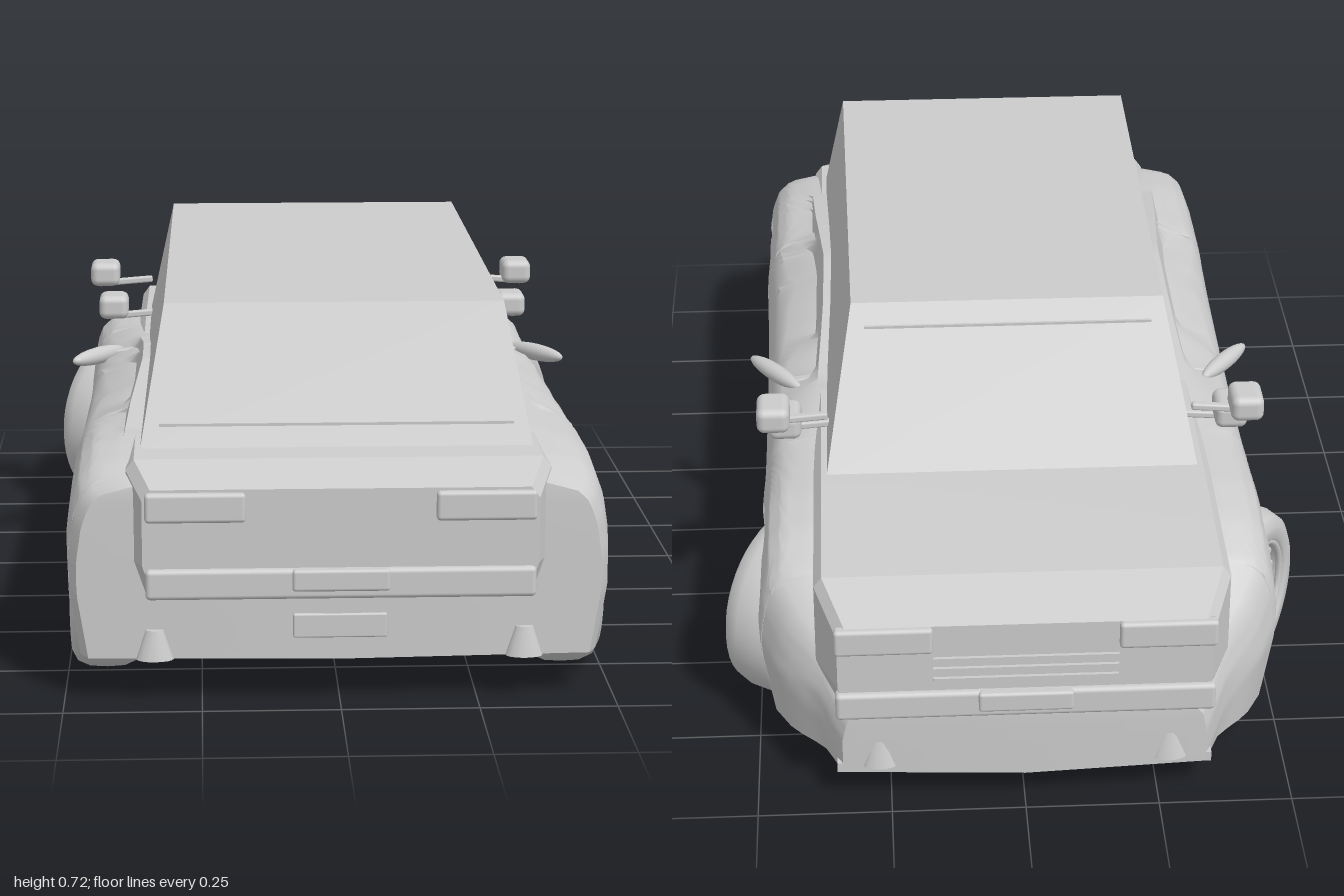
import * as THREE from 'three';
import { toCreasedNormals } from 'three/addons/utils/BufferGeometryUtils.js';
import { RoundedBoxGeometry } from 'three/addons/geometries/RoundedBoxGeometry.js';

const grey = new THREE.MeshStandardMaterial({ color: 0xcccccc, side: THREE.DoubleSide });
grey.name = 'plain grey';

function add(parent, name, geometry, x = 0, y = 0, z = 0) {
  const mesh = new THREE.Mesh(geometry, grey);
  mesh.name = name;
  mesh.position.set(x, y, z);
  parent.add(mesh);
  return mesh;
}

// Linear lookup through [key, value] pairs
function lerpTable(table, k) {
  if (k <= table[0][0]) return table[0][1];
  for (let i = 1; i < table.length; i++) {
    const [k0, v0] = table[i - 1], [k1, v1] = table[i];
    if (k <= k1) return v0 + (v1 - v0) * (k - k0) / (k1 - k0);
  }
  return table[table.length - 1][1];
}

// Skin a list of equal-length rows; every row may be closed into a ring
function loft(rows, closed, crease) {
  const n = rows[0].length, index = [];
  for (let i = 0; i < rows.length - 1; i++) {
    for (let j = 0; j < (closed ? n : n - 1); j++) {
      const k = (j + 1) % n, a = i * n + j, b = i * n + k, c = a + n, d = b + n;
      index.push(a, b, c, b, d, c);
    }
  }
  const g = new THREE.BufferGeometry();
  g.setAttribute('position', new THREE.Float32BufferAttribute(rows.flat(2), 3));
  g.setIndex(index);
  g.computeVertexNormals();
  return toCreasedNormals(g, crease);
}

// Close both ends by repeating the end rows squeezed onto the centre plane, bowed outwards
function capped(rows, bow) {
  const squeeze = (row, dz) => row.map(([, y, z]) => [0, y, z + dz]);
  return [squeeze(rows[0], -bow), ...rows, squeeze(rows[rows.length - 1], bow)];
}

const REAR_Z = 0.70, FRONT_Z = -0.56, ARCH = 0.195, AXLE_Y = 0.18;

// Lower, wide body with wheel arches
const shoulder = [[-0.96, 0.21], [-0.9, 0.26], [-0.83, 0.32], [-0.75, 0.38], [-0.66, 0.42], [-0.56, 0.435],
  [-0.4, 0.44], [-0.1, 0.465], [0.1, 0.495], [0.3, 0.505], [0.5, 0.48], [0.7, 0.45], [0.85, 0.43], [0.93, 0.40]];
const plan = [[-0.96, 0.36], [-0.88, 0.395], [-0.82, 0.455], [-0.74, 0.497], [-0.55, 0.497], [-0.3, 0.487],
  [0, 0.487], [0.3, 0.49], [0.55, 0.497], [0.85, 0.497], [0.9, 0.49], [0.93, 0.475]];
const rounding = [[0, 0.105], [0.012, 0.05], [0.035, 0.025], [0.075, 0.01], [0.14, 0]];

function lowerEdge(z) {
  for (const c of [REAR_Z, FRONT_Z]) {
    const d = Math.abs(z - c);
    if (d < ARCH) return AXLE_Y + Math.sqrt(ARCH * ARCH - d * d);
  }
  return z > 0.8 ? 0.08 : z < -0.7 ? 0.065 : 0.05;
}

function bodyRow(z) {
  const top = lerpTable(shoulder, z), low = Math.min(lowerEdge(z), top - 0.02);
  const ledge = Math.min(top, 0.445); // fender top; the glasshouse base rises above it
  const side = [];
  for (let i = 0; i <= 20; i++) {
    const y = low + (top - low) * i / 20;
    // Scooped lower door and tucked sill
    const door = Math.max(0, 1 - Math.abs(z - 0.08) / 0.4) * Math.max(0, 1 - Math.abs(y - 0.17) / 0.1);
    const inset = lerpTable(rounding, ledge - y) + Math.max(0, y - ledge) * 0.35;
    side.push([lerpTable(plan, z) - inset - Math.max(0, 0.2 - y) * 0.16 - 0.03 * door, y, z]);
  }
  return [...side, ...side.slice().reverse().map(([x, y, zz]) => [-x, y, zz])];
}

function wideBody() {
  const stations = [];
  for (let i = 0; i <= 76; i++) stations.push(-0.96 + 1.89 * i / 76);
  for (const c of [REAR_Z, FRONT_Z]) {
    for (const s of [-1, 1]) for (const e of [-0.001, -0.006, 0.001]) stations.push(c + s * (ARCH + e));
  }
  return loft(capped(stations.sort((a, b) => a - b).map(bodyRow), 0.02), false, 0.6);
}

// Boxy upper body: z, half width, underside, top
function upperBody() {
  const rows = [[-0.98, 0.345, 0.21, 0.40], [-0.87, 0.385, 0.2, 0.44], [-0.52, 0.385, 0.2, 0.457],
    [0.5, 0.385, 0.2, 0.455], [0.89, 0.385, 0.2, 0.44], [0.98, 0.355, 0.205, 0.405]]
    .map(([z, w, b, t]) => [[w - 0.02, b, z], [w, b + 0.06, z], [w, t - 0.02, z], [w - 0.015, t, z],
      [0.015 - w, t, z], [-w, t - 0.02, z], [-w, b + 0.06, z], [0.02 - w, b, z]]);
  return loft(capped(rows, 0), true, 0.3);
}

// Cabin with sloping screens and a roof falling towards +z
function cabin() {
  const ring = (w, ya, za, yb, zb) => [[w[0], ya, za], [w[1], yb, zb], [-w[1], yb, zb], [-w[0], ya, za]];
  const roof = ring([0.305, 0.315], 0.72, -0.33, 0.69, 0.70);
  return loft([ring([0.36, 0.36], 0.45, -0.54, 0.44, 0.82), roof, roof.map(([, y, z]) => [0, y, z])], true, 0.1);
}

// Tyre, rim, spokes and brake disc, turning on x with the outer face at +x
function wheel(width) {
  const g = new THREE.Group(), h = width / 2;
  const profile = [[0.12, -h], [0.15, -h], [0.168, -h * 0.85], [0.178, -h * 0.5], [0.18, 0],
    [0.178, h * 0.5], [0.168, h * 0.85], [0.15, h], [0.125, h], [0.118, h * 0.85], [0.112, -h * 0.8]];
  const tyre = new THREE.LatheGeometry(profile.map(p => new THREE.Vector2(...p)), 40).rotateZ(-Math.PI / 2);
  add(g, 'tyre', tyre);
  add(g, 'rimBack', new THREE.CircleGeometry(0.12, 32).rotateY(Math.PI / 2), -h * 0.8);
  add(g, 'brakeDisc', new THREE.CylinderGeometry(0.075, 0.075, 0.012, 32).rotateZ(Math.PI / 2), -h * 0.2);
  add(g, 'rimLip', new THREE.TorusGeometry(0.117, 0.007, 8, 40).rotateY(Math.PI / 2), h * 0.85);
  add(g, 'hub', new THREE.CylinderGeometry(0.022, 0.026, h * 1.5, 16).rotateZ(-Math.PI / 2));
  for (let i = 0; i < 5; i++) {
    for (const s of [-1, 1]) {
      const spoke = add(g, 'spoke', new THREE.BoxGeometry(0.015, 0.1, 0.01).translate(0, 0.065, s * 0.009), h * 0.6);
      spoke.rotation.x = i * Math.PI * 0.4 + s * 0.1;
    }
  }
  return g;
}

function bar(parent, name, w, h, d, x, y, z) {
  return add(parent, name, new RoundedBoxGeometry(w, h, d, 3, Math.min(w, h, d) * 0.3), x, y, z);
}

export function createModel() {
  const car = new THREE.Group();
  car.name = 'car';
  add(car, 'wideBody', wideBody());
  add(car, 'upperBody', upperBody());
  add(car, 'cabin', cabin());
  add(car, 'rearScreenSeam', new THREE.BoxGeometry(0.65, 0.005, 0.006), 0, 0.482, 0.8);
  add(car, 'windscreenSeam', new THREE.BoxGeometry(0.56, 0.005, 0.006), 0, 0.682, -0.36);

  // Underside
  add(car, 'floor', new THREE.BoxGeometry(0.9, 0.03, 0.82), 0, 0.062, 0.07);
  add(car, 'noseFloor', new THREE.BoxGeometry(0.54, 0.03, 0.5), 0, 0.066, -0.57);
  add(car, 'noseLip', new THREE.BoxGeometry(0.7, 0.02, 0.2), 0, 0.075, -0.86);
  add(car, 'tailFloor', new THREE.BoxGeometry(0.5, 0.035, 0.1), 0, 0.062, 0.51);
  add(car, 'innerHull', new THREE.BoxGeometry(0.56, 0.2, 1.2), 0, 0.17, -0.1);

  // Lamps, bumper and plate at both ends
  for (const e of [-1, 1]) {
    bar(car, 'bumperBar', 0.7, 0.056, 0.03, 0, 0.232, e * 0.977);
    bar(car, 'numberPlate', 0.175, 0.04, 0.02, 0, 0.24, e * 0.99);
    for (const s of [-1, 1]) {
      bar(car, 'lamp', 0.18, 0.054, 0.025, s * 0.26, 0.373, e * 0.98);
      const fin = add(car, 'bumperFin', new THREE.CylinderGeometry(0.016, 0.034, 0.055, 16),
        s * (e > 0 ? 0.335 : 0.27), 0.107, e > 0 ? 0.937 : -0.955);
      fin.scale.z = 0.6;
    }
  }
  bar(car, 'tailPanel', 0.17, 0.045, 0.012, 0, 0.143, 0.947);
  for (let i = 0; i < 3; i++) {
    add(car, 'grilleSlat', new THREE.BoxGeometry(0.34, 0.008, 0.009), 0, 0.285 + i * 0.022, -0.982);
  }

  for (const s of [-1, 1]) {
    // Road wheels, the pair at -z steered
    const rear = wheel(0.13);
    rear.name = 'fixedWheel';
    rear.position.set(s * 0.427, AXLE_Y, REAR_Z);
    rear.rotation.y = s > 0 ? 0 : Math.PI;
    const front = wheel(0.155);
    front.name = 'steeredWheel';
    front.position.set(s * 0.42, AXLE_Y, -0.562);
    front.rotation.y = -Math.PI / 6 + (s > 0 ? 0 : Math.PI);
    car.add(rear, front);

    // Second, inner set of wheels
    for (const z of [0.555, -0.62]) {
      const inner = wheel(0.105);
      inner.name = 'innerWheel';
      inner.position.set(s * 0.347, AXLE_Y, z);
      inner.rotation.y = s > 0 ? 0 : Math.PI;
      car.add(inner);
    }

    // Boxed mirrors on stalks
    for (const [x, y, z] of [[0.46, 0.547, -0.45], [0.44, 0.487, -0.372]]) {
      bar(car, 'boxMirror', 0.064, 0.052, 0.085, s * x, y, z);
      const stalk = bar(car, 'mirrorStalk', 0.12, 0.014, 0.016, s * (x - 0.045), y - 0.018, z + 0.01);
      stalk.rotation.z = -s * 0.08;
    }
    // Blade mirrors on the doors
    const blade = add(car, 'bladeMirror', new THREE.SphereGeometry(1, 20, 12), s * 0.465, 0.432, -0.085);
    blade.scale.set(0.018, 0.018, 0.085);
    blade.rotation.y = s * 0.65;
    const arm = bar(car, 'bladeArm', 0.07, 0.014, 0.02, s * 0.415, 0.432, -0.12);
    arm.rotation.z = -s * 0.15;
    // Door sill crease
    const sill = bar(car, 'sillStrip', 0.012, 0.02, 0.62, s * 0.463, 0.075, 0.02);
    sill.rotation.x = 0.04;
  }
  return car;
}
